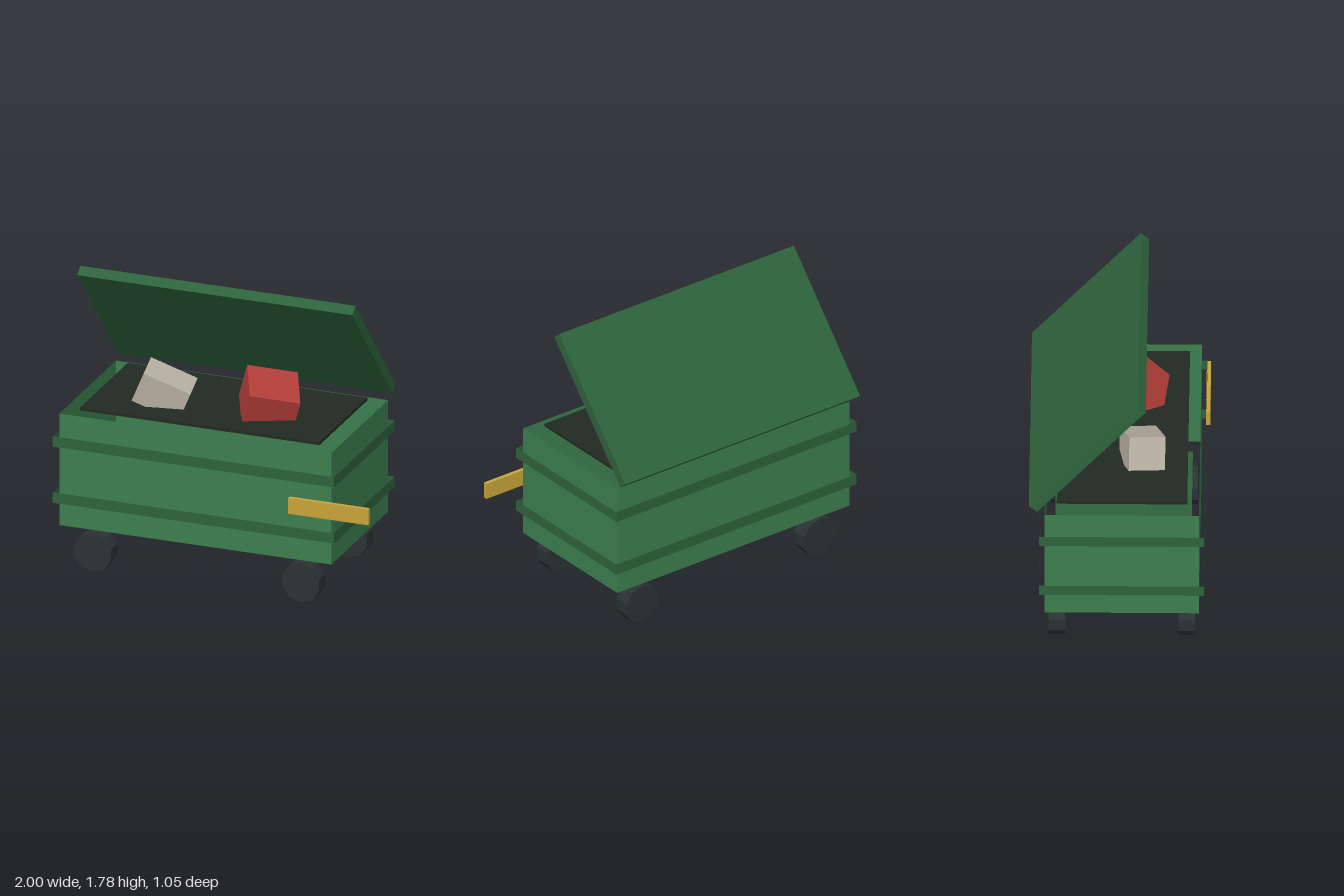
import * as THREE from 'three';

export function createModel() {
  const group = new THREE.Group();
  group.name = 'wasteContainer';

  const mat = (name, color) => {
    const m = new THREE.MeshStandardMaterial({ color, flatShading: true, side: THREE.DoubleSide });
    m.name = name;
    return m;
  };
  const green = mat('body green', 0x3c7f4f);
  const darkGreen = mat('trim green', 0x2e633c);
  const rubber = mat('wheel rubber', 0x2b3233);
  const black = mat('inner black', 0x222a22);
  const gold = mat('handle gold', 0xc8a43a);
  const red = mat('red bag', 0xb23d38);
  const grey = mat('grey bag', 0xb9b1a4);

  const add = (name, geometry, material, x, y, z) => {
    const mesh = new THREE.Mesh(geometry, material);
    mesh.name = name;
    mesh.position.set(x, y, z);
    group.add(mesh);
    return mesh;
  };
  const box = (name, material, w, h, d, x, y, z) =>
    add(name, new THREE.BoxGeometry(w, h, d), material, x, y, z);

  // Four upright walls, open above and below
  const sleeve = (name, material, w, h, d, x, y, z) => {
    const g = new THREE.CylinderGeometry(Math.SQRT1_2, Math.SQRT1_2, 1, 4, 1, true);
    g.rotateY(Math.PI / 4).scale(w, h, d);
    return add(name, g, material, x, y, z);
  };

  const CX = -0.113, CZ = 0.022; // centre of the container

  // Container walls and the two ribs around them
  sleeve('body', green, 1.716, 0.704, 0.906, CX, 0.629, CZ);
  for (const y of [0.458, 0.812]) sleeve('rib', darkGreen, 1.775, 0.066, 0.968, CX, y, CZ);

  // Floor and the dark fill plate at the opening
  box('floor', darkGreen, 1.51, 0.024, 0.8, CX, 0.267, CZ);
  box('innerPlate', black, 1.51, 0.018, 0.766, CX, 0.999, CZ);

  // Propped-open lid
  const lid = box('lid', darkGreen, 1.735, 0.064, 0.968, CX, 1.395, -0.18);
  lid.rotation.x = -0.85;

  // Handle bar
  box('handle', gold, 0.505, 0.1, 0.025, 0.745, 0.63, 0.513);

  // Wheels
  for (const sx of [-1, 1]) {
    for (const sz of [-1, 1]) {
      const g = new THREE.CylinderGeometry(0.122, 0.122, 0.1, 10).rotateX(Math.PI / 2);
      add('wheel', g, rubber, CX + sx * 0.656, 0.124, CZ + sz * 0.382);
    }
  }

  // Tilted rubbish, oriented by the directions of its width and depth
  const rubbish = (name, material, size, position, wide, deep) => {
    const ex = new THREE.Vector3(...wide).normalize();
    const ey = new THREE.Vector3(...deep).cross(ex).normalize();
    const ez = new THREE.Vector3().crossVectors(ex, ey);
    const mesh = box(name, material, ...size, ...position);
    mesh.quaternion.setFromRotationMatrix(new THREE.Matrix4().makeBasis(ex, ey, ez));
  };
  rubbish('redBag', red, [0.305, 0.22, 0.3], [0.197, 1.095, 0.072],
    [0.265, -0.06, -0.14], [0.125, -0.085, 0.26]);
  rubbish('greyBag', grey, [0.3, 0.2, 0.216], [-0.44, 1.086, 0.137],
    [0.272, -0.115, -0.06], [0.038, -0.021, 0.212]);

  return group;
}
